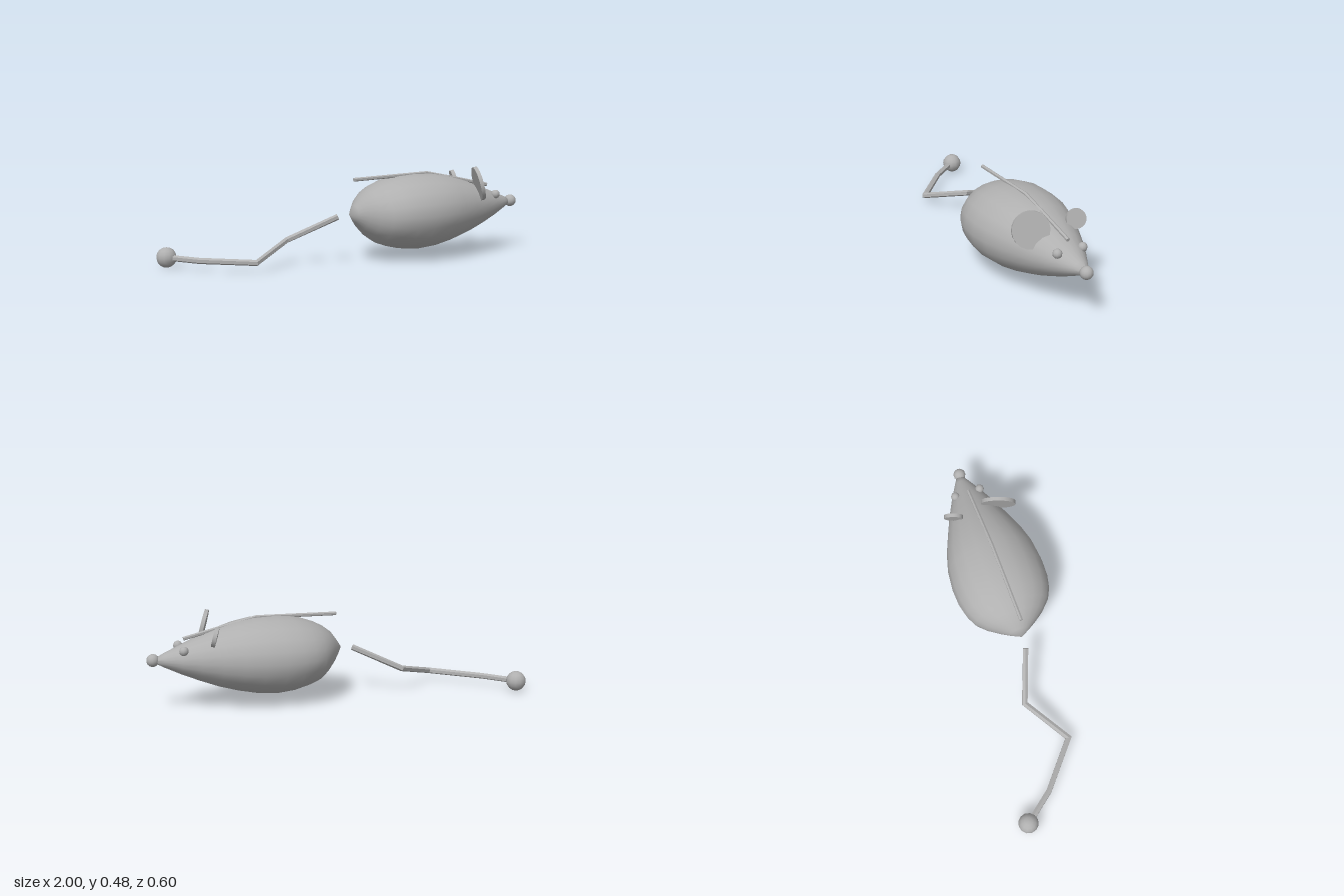
import * as THREE from 'three';
import { toCreasedNormals } from 'three/addons/utils/BufferGeometryUtils.js';

const V = (x, y, z) => new THREE.Vector3(x, y, z);
const UP = V(0, 1, 0);

// Skin a list of equal-length closed rings and cap both ends
function loft(rings, crease) {
  const n = rings[0].length, pos = [], idx = [];
  const add = p => pos.push(p.x, p.y, p.z);
  rings.forEach(r => r.forEach(add));
  const mid = r => r.reduce((s, p) => s.add(p), V(0, 0, 0)).divideScalar(n);
  const first = rings.length * n, last = first + 1, e = (rings.length - 1) * n;
  add(mid(rings[0]));
  add(mid(rings[rings.length - 1]));
  for (let j = 0; j < n; j++) {
    const k = (j + 1) % n;
    for (let i = 0; i < rings.length - 1; i++) {
      const a = i * n + j, b = i * n + k;
      idx.push(a, b, a + n, b, b + n, a + n);
    }
    idx.push(first, k, j, last, e + j, e + k);
  }
  const g = new THREE.BufferGeometry();
  g.setAttribute('position', new THREE.Float32BufferAttribute(pos, 3));
  g.setIndex(idx);
  g.computeVertexNormals();
  return toCreasedNormals(g, crease);
}

function ring(centre, side, up, a, b, n, turn = 0) {
  return Array.from({ length: n }, (_, j) => {
    const t = turn + j / n * Math.PI * 2;
    return centre.clone().addScaledVector(side, Math.cos(t) * a).addScaledVector(up, Math.sin(t) * b);
  });
}

// Faceted rod with mitred joints along a path
function rod(path, radius, sides) {
  const rings = path.map((p, i) => {
    const d0 = (i ? p.clone().sub(path[i - 1]) : path[1].clone().sub(p)).normalize();
    const d1 = (i < path.length - 1 ? path[i + 1].clone().sub(p) : d0.clone()).normalize();
    const t = d0.clone().add(d1).normalize();
    const side = UP.clone().cross(t).normalize();
    return ring(p, side, t.clone().cross(side), radius / t.dot(d0), radius, sides, Math.PI / sides);
  });
  return loft(rings, 0.3);
}

export function createModel() {
  const group = new THREE.Group();
  const grey = new THREE.MeshStandardMaterial({ color: 0xb0b0b0 });
  grey.name = 'grey';
  const add = (name, geometry, position) => {
    const m = new THREE.Mesh(geometry, grey);
    m.name = name;
    if (position) m.position.copy(position);
    group.add(m);
    return m;
  };
  const midZ = 0.045;

  // Teardrop body: x, centre y, half height, half width
  const sections = [
    [-0.045, 0.256, 0.002, 0.002], [-0.015, 0.257, 0.045, 0.055], [0.02, 0.258, 0.09, 0.108],
    [0.06, 0.254, 0.125, 0.16], [0.11, 0.25, 0.156, 0.207], [0.17, 0.25, 0.178, 0.236],
    [0.24, 0.25, 0.195, 0.252], [0.33, 0.25, 0.202, 0.256], [0.44, 0.254, 0.196, 0.244],
    [0.54, 0.257, 0.177, 0.216], [0.64, 0.258, 0.148, 0.175], [0.74, 0.26, 0.11, 0.132],
    [0.83, 0.262, 0.072, 0.087], [0.91, 0.266, 0.036, 0.042], [0.96, 0.268, 0.01, 0.012],
  ];
  add('body', loft(sections.map(([x, y, h, w]) =>
    ring(V(x, y, midZ), V(0, 1, 0), V(0, 0, 1), h, w, 20)), 1.2));

  // Thin seam rod along the back
  add('backSeam', rod([V(-0.02, 0.438, 0.05), V(0.2, 0.445, 0.05), V(0.42, 0.452, 0.05),
    V(0.6, 0.414, 0.05), V(0.805, 0.369, 0.05)], 0.01, 6));

  // Zigzag tail with a ball at its end
  add('tail', rod([V(-0.11, 0.248, 0.043), V(-0.36, 0.13, -0.053), V(-0.595, 0.056, 0.107),
    V(-0.826, 0.053, -0.09), V(-0.95, 0.055, -0.247)], 0.016, 6));
  add('tailBall', new THREE.SphereGeometry(0.053, 12, 8), V(-0.948, 0.055, -0.25));

  // Nose and eyes
  add('nose', new THREE.SphereGeometry(0.033, 14, 10), V(0.965, 0.27, 0.05));
  for (const [name, z] of [['rightEye', 0.118], ['leftEye', -0.022]])
    add(name, new THREE.SphereGeometry(0.024, 10, 8), V(0.82, 0.321, z));

  // Tilted disc ears of unequal size
  for (const [name, r, y, z] of [['rightEar', 0.093, 0.394, 0.174], ['leftEar', 0.05, 0.394, -0.08]]) {
    const ear = add(name, new THREE.CylinderGeometry(r, r, 0.02, 20), V(0.672, y, z));
    ear.quaternion.setFromUnitVectors(UP, V(1, 0.27, 0.36).normalize());
  }
  return group;
}
